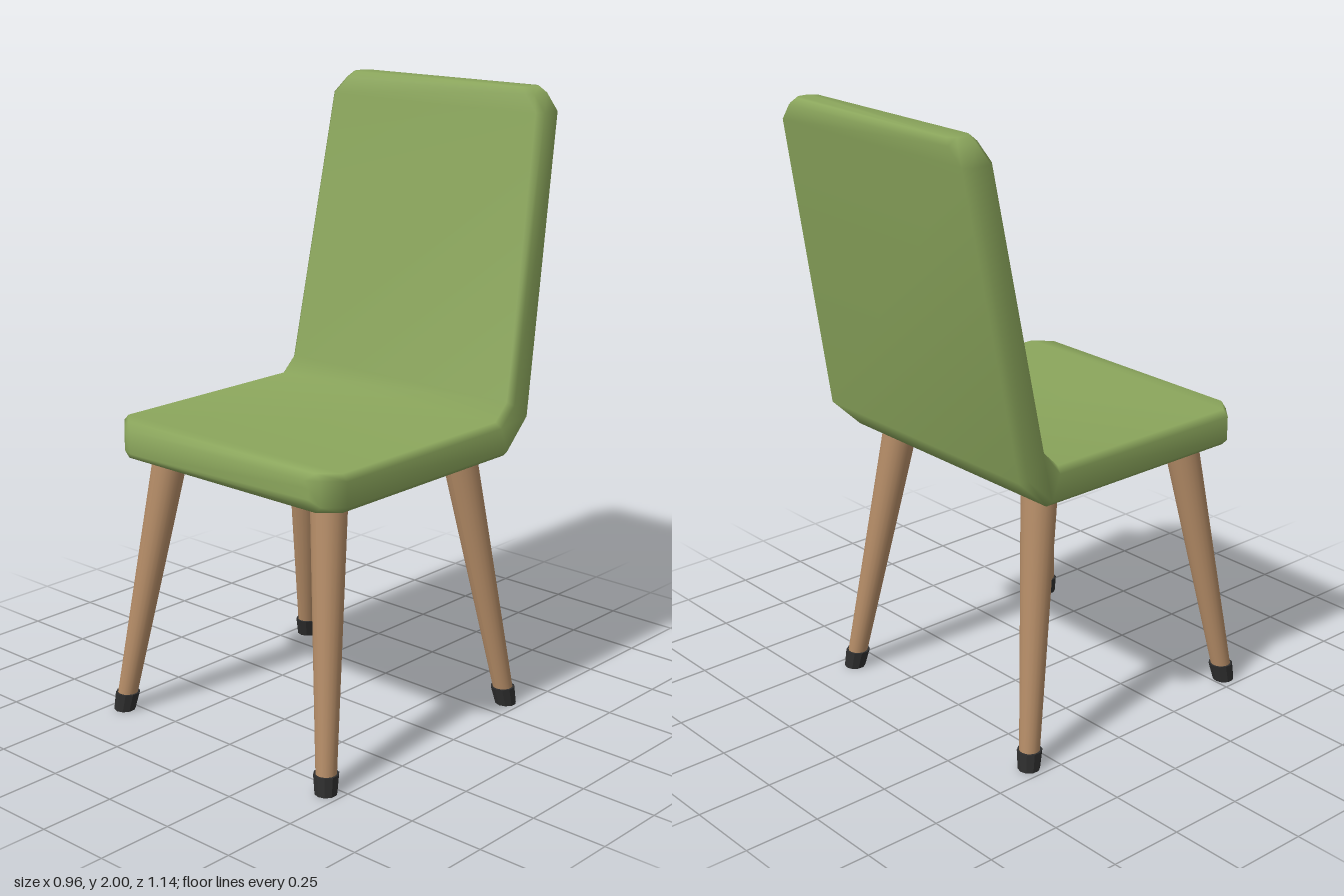
import * as THREE from 'three';

const mat = (name, color) => {
  const m = new THREE.MeshStandardMaterial({ color });
  m.name = name;
  return m;
};

// Upholstered shell: chamfered cross-sections swept from the front edge to the top.
// Each station: outer z, outer y, inner z, inner y, half width.
function shellGeometry() {
  const stations = [
    [0.55, 0.89, 0.55, 0.965, 0.39],
    [0.53, 0.868, 0.53, 0.987, 0.42],
    [0.478, 0.868, 0.478, 0.987, 0.477],
    [-0.28, 0.868, -0.235, 0.987, 0.477],
    [-0.387, 0.97, -0.29, 1.04, 0.477],
    [-0.56, 1.927, -0.453, 1.927, 0.439],
    [-0.569, 1.98, -0.463, 1.98, 0.39],
    [-0.555, 2.0, -0.478, 2.0, 0.37],
  ];
  const pos = [], index = [], N = 8, c = 0.02;
  for (const [oz, oy, iz, iy, w] of stations) {
    const t = c / Math.hypot(iz - oz, iy - oy);
    const ring = [
      [-w + c, 0], [w - c, 0], [w, t], [w, 1 - t],
      [w - c, 1], [-w + c, 1], [-w, 1 - t], [-w, t],
    ];
    for (const [x, u] of ring) pos.push(x, oy + (iy - oy) * u, oz + (iz - oz) * u);
  }
  const last = stations.length - 1;
  for (let i = 0; i < last; i++) {
    for (let j = 0; j < N; j++) {
      const a = i * N + j, b = i * N + (j + 1) % N;
      index.push(a, a + N, b, b, a + N, b + N);
    }
  }
  // End caps
  for (let j = 1; j < N - 1; j++) {
    index.push(0, j, j + 1);
    index.push(last * N, last * N + j + 1, last * N + j);
  }
  const g = new THREE.BufferGeometry();
  g.setAttribute('position', new THREE.Float32BufferAttribute(pos, 3));
  g.setIndex(index);
  g.computeVertexNormals();
  return g;
}

// Tapered post with level ends whose centre line leans from foot to top
function leaningPost(rTop, rBottom, y0, y1, sides, lean) {
  const g = new THREE.CylinderGeometry(rTop, rBottom, y1 - y0, sides);
  g.translate(0, (y0 + y1) / 2, 0);
  const p = g.attributes.position;
  for (let i = 0; i < p.count; i++) {
    const y = p.getY(i);
    p.setX(i, p.getX(i) + lean.x * y);
    p.setZ(i, p.getZ(i) + lean.z * y);
  }
  g.computeVertexNormals();
  return g;
}

export function createModel() {
  const green = mat('green upholstery', 0x8ba65c);
  const wood = mat('wood', 0xb38b66);
  const rubber = mat('dark rubber', 0x2e2e2e);
  const model = new THREE.Group();
  model.name = 'chair';
  const add = (parent, name, geometry, material) => {
    const m = new THREE.Mesh(geometry, material);
    m.name = name;
    parent.add(m);
  };

  add(model, 'seatAndBackrest', shellGeometry(), green);

  // Four splayed legs with dark foot caps
  for (const [end, zFoot, zTop] of [['front', 0.54, 0.405], ['back', -0.338, -0.2]]) {
    for (const side of [1, -1]) {
      const leg = new THREE.Group();
      leg.name = end + (side > 0 ? 'LeftLeg' : 'RightLeg');
      leg.position.set(side * 0.448, 0, zFoot);
      const lean = { x: side * (0.338 - 0.448) / 0.88, z: (zTop - zFoot) / 0.88 };
      add(leg, 'legPost', leaningPost(0.058, 0.032, 0.04, 0.89, 20, lean), wood);
      add(leg, 'footCap', leaningPost(0.04, 0.035, 0, 0.06, 10, lean).toNonIndexed(), rubber);
      leg.children[1].geometry.computeVertexNormals();
      model.add(leg);
    }
  }
  return model;
}
